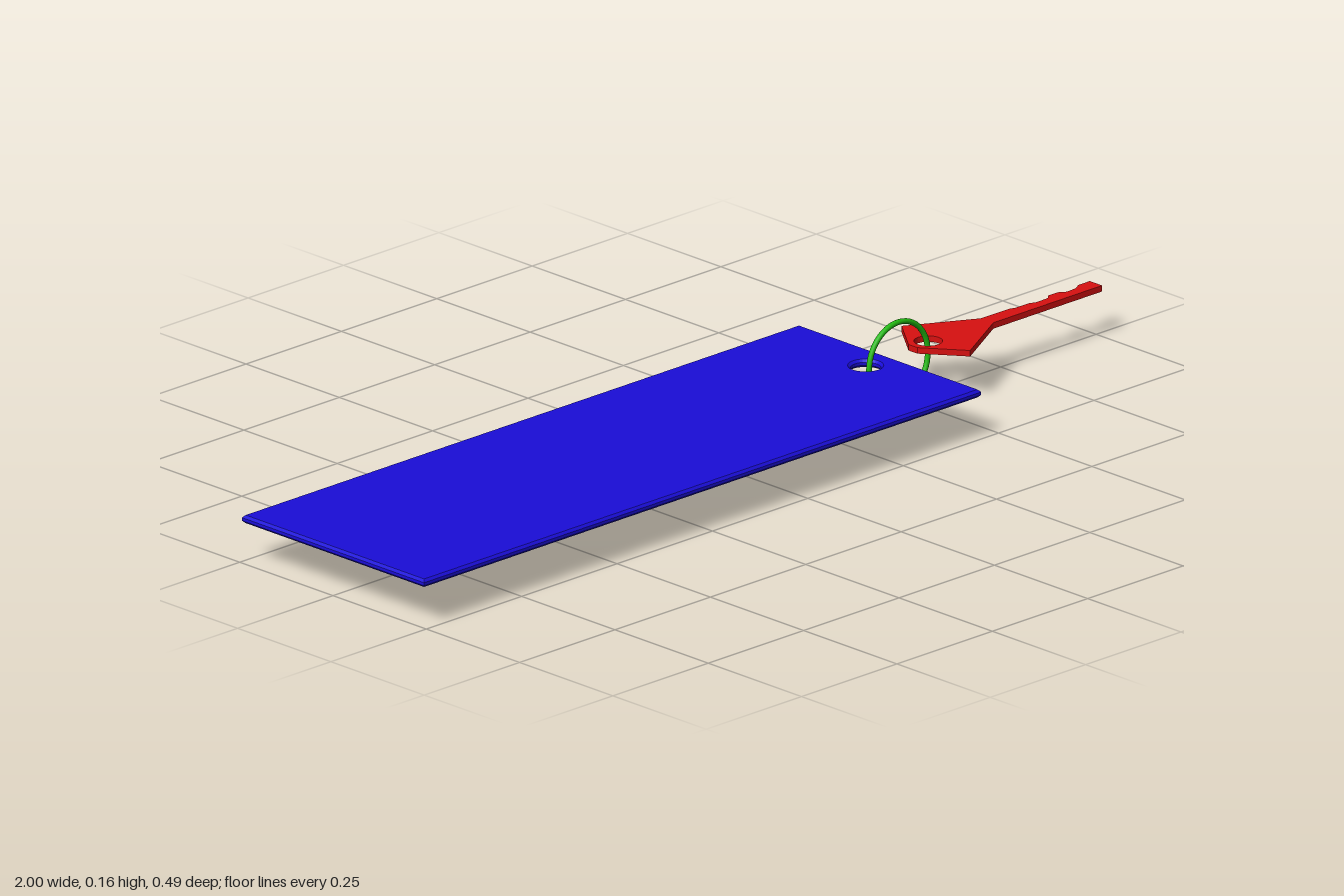
import * as THREE from 'three';

// Flat plate lying in the xz plane; outline points are [x, -z]
function plate(name, color, points, hole, bottom, height, bevel) {
  const shape = new THREE.Shape(points.map(([x, y]) => new THREE.Vector2(x, y)));
  shape.holes.push(new THREE.Path().absarc(hole.x, 0, hole.r, 0, Math.PI * 2, true));
  const geometry = new THREE.ExtrudeGeometry(shape, {
    depth: height - 2 * bevel,
    bevelEnabled: bevel > 0,
    bevelThickness: bevel,
    bevelSize: bevel,
    bevelOffset: -bevel,
    bevelSegments: 1,
    curveSegments: 16,
  });
  geometry.rotateX(-Math.PI / 2);
  geometry.translate(0, bottom + bevel, 0);
  const mesh = new THREE.Mesh(geometry, new THREE.MeshStandardMaterial({ color }));
  mesh.name = name;
  return mesh;
}

export function createModel() {
  const model = new THREE.Group();
  model.name = 'keyWithTag';

  // Long tag with chamfered edges and a hole near one end
  const tag = [[-1, -0.244], [0.46, -0.244], [0.46, 0.244], [-1, 0.244]];
  model.add(plate('tag', 0x1a0dd8, tag, { x: 0.396, r: 0.029 }, 0.08, 0.016, 0.005));

  // Key: kite-shaped bow, straight blade, teeth along the back edge
  const key = [
    [0.52, -0.012], [0.58, -0.092], [0.715, -0.016], [1, -0.016],
    [1, 0.017], [0.97, 0.017], [0.955, 0.008], [0.93, 0.006],
    [0.915, 0.016], [0.89, 0.016], [0.88, 0.007], [0.85, 0.006],
    [0.835, 0.012], [0.80, 0.012], [0.79, 0.016], [0.715, 0.017],
    [0.58, 0.092], [0.52, 0.012],
  ];
  model.add(plate('key', 0xd81010, key, { x: 0.56, r: 0.027 }, 0.09, 0.012, 0));

  // Upright ring linking the tag and the key, leaning slightly
  const ring = new THREE.Mesh(
    new THREE.TorusGeometry(0.077, 0.0055, 10, 48),
    new THREE.MeshStandardMaterial({ color: 0x22bb11 }),
  );
  ring.name = 'ring';
  ring.position.set(0.481, 0.0825, 0.001);
  ring.rotation.x = -0.025;
  model.add(ring);

  return model;
}
